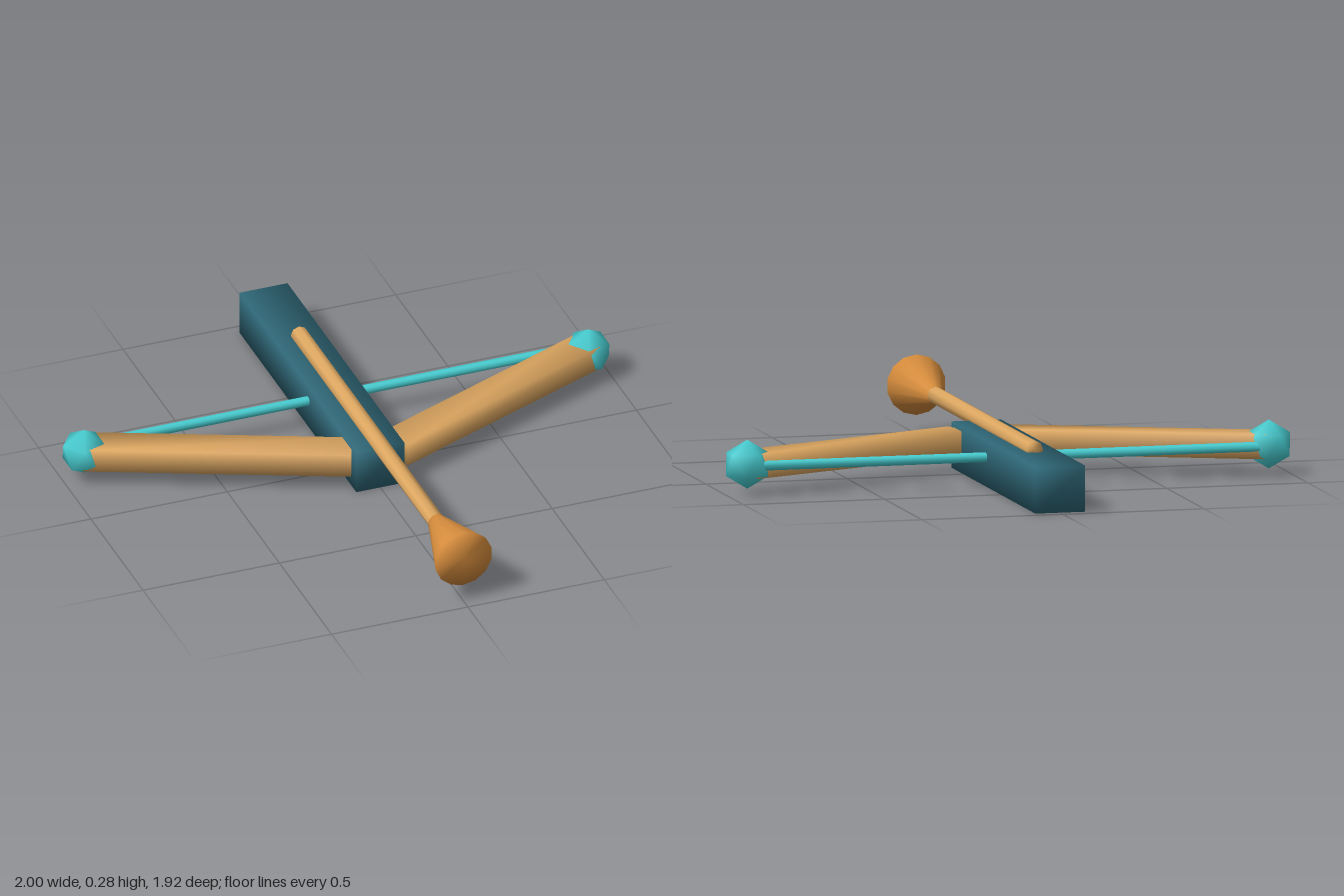
import * as THREE from 'three';
import { mergeVertices } from 'three/addons/utils/BufferGeometryUtils.js';

const material = (name, color) => {
  const m = new THREE.MeshStandardMaterial({ color });
  m.name = name;
  return m;
};

// Share the corners so the low-poly solids shade softly all round
function soften(geometry) {
  geometry.deleteAttribute('normal');
  geometry.deleteAttribute('uv');
  geometry.clearGroups();
  const merged = mergeVertices(geometry, 1e-4);
  merged.computeVertexNormals();
  return merged;
}

export function createModel() {
  const group = new THREE.Group();
  const darkTeal = material('dark teal', 0x2e6676);
  const wood = material('light wood', 0xdca660);
  const orange = material('orange', 0xd48b3c);
  const cyan = material('cyan', 0x48cfd3);

  const add = (name, geometry, mat, x, y, z) => {
    const mesh = new THREE.Mesh(soften(geometry), mat);
    mesh.name = name;
    mesh.position.set(x, y, z);
    group.add(mesh);
    return mesh;
  };

  // Stock
  add('stock', new THREE.BoxGeometry(0.176, 0.16, 1.12), darkTeal, 0, 0.08, -0.4);

  // Bow arms and the knobs on their tips
  const inner = new THREE.Vector2(0.08, 0.095);
  const outer = new THREE.Vector2(0.925, -0.265);
  const span = outer.clone().sub(inner);
  const middle = inner.clone().add(outer).multiplyScalar(0.5);
  for (const [side, s] of [['left', 1], ['right', -1]]) {
    const arm = add(side + 'BowArm', new THREE.BoxGeometry(span.length(), 0.085, 0.12),
      wood, s * middle.x, 0.102, middle.y);
    arm.rotation.y = s * Math.atan2(-span.y, span.x);

    const knob = new THREE.IcosahedronGeometry(0.085);
    knob.rotateZ(Math.PI / 2 - Math.atan2((1 + Math.sqrt(5)) / 2, 1)); // one corner straight up
    add(side + 'Knob', knob, cyan, s * 0.924, 0.104, -0.265);
  }

  // Bowstring
  const string = new THREE.CylinderGeometry(0.017, 0.017, 1.82, 8);
  string.rotateZ(Math.PI / 2);
  add('bowstring', string, cyan, 0, 0.102, -0.303);

  // Bolt shaft
  const shaft = new THREE.CylinderGeometry(0.03, 0.03, 1.32, 8);
  shaft.rotateX(Math.PI / 2);
  add('boltShaft', shaft, wood, 0, 0.17, 0.04);

  // Flared bolt head, wide end to the front
  const head = new THREE.CylinderGeometry(0.105, 0.03, 0.26, 14);
  head.rotateX(Math.PI / 2);
  add('boltHead', head, orange, 0, 0.17, 0.828);

  return group;
}
